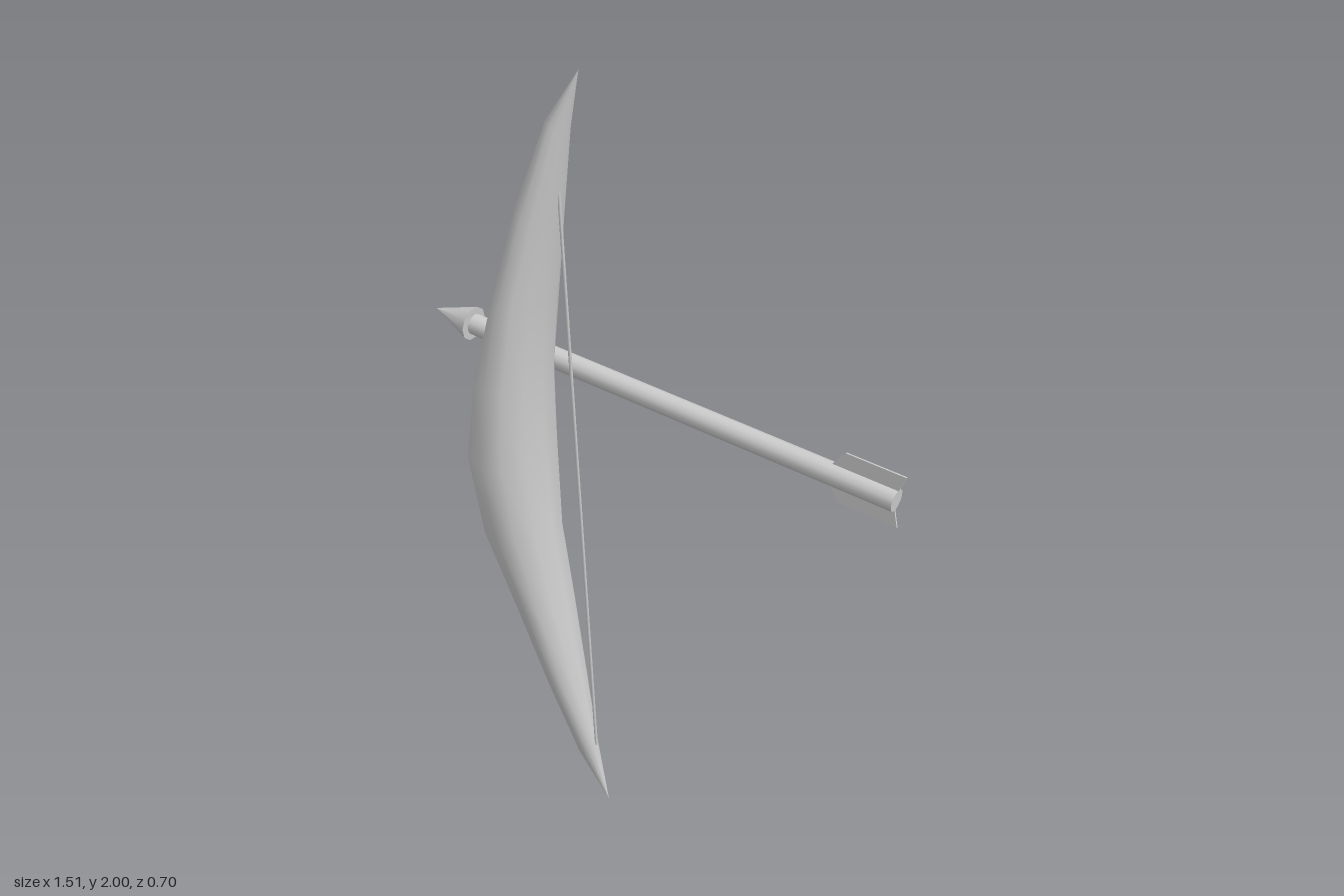
import * as THREE from 'three';

const mat = new THREE.MeshStandardMaterial({ color: 0xcccccc, side: THREE.DoubleSide });

function add(parent, name, geometry) {
  const mesh = new THREE.Mesh(geometry, mat);
  mesh.name = name;
  parent.add(mesh);
  return mesh;
}

// Bow stave cross-sections, bottom to top: outer x, y; inner x, y; half depth
const sections = [
  [0.23, 0, 0.23, 0, 0],
  [0.135, 0.135, 0.188, 0.17, 0.026],
  [0.045, 0.36, 0.145, 0.35, 0.059],
  [-0.04, 0.575, 0.1, 0.56, 0.085],
  [-0.14, 0.79, 0.055, 0.79, 0.107],
  [-0.17, 1.01, 0.035, 1.0, 0.13],
  [-0.142, 1.22, 0.027, 1.21, 0.119],
  [-0.08, 1.43, 0.04, 1.43, 0.109],
  [-0.02, 1.67, 0.073, 1.64, 0.074],
  [0.055, 1.88, 0.105, 1.86, 0.034],
  [0.135, 2, 0.135, 2, 0],
];

function staveGeometry(sides = 12) {
  const pos = [], index = [];
  sections.forEach(([ox, oy, ix, iy, depth], row) => {
    for (let j = 0; j < sides; j++) {
      const a = (j / sides) * Math.PI * 2;
      const t = (1 + Math.cos(a)) / 2;
      pos.push(ox + (ix - ox) * t, oy + (iy - oy) * t, depth * Math.sin(a));
      if (row === sections.length - 1) continue;
      const k = row * sides + j, n = row * sides + ((j + 1) % sides);
      if (row < sections.length - 2) index.push(k, k + sides, n + sides);
      else index.push(k, k + sides, n);
      if (row > 0 && row < sections.length - 2) index.push(k, n + sides, n);
    }
  });
  const g = new THREE.BufferGeometry();
  g.setAttribute('position', new THREE.Float32BufferAttribute(pos, 3));
  g.setIndex(index);
  g.computeVertexNormals();
  return g;
}

export function createModel() {
  const model = new THREE.Group();
  model.name = 'bowAndArrow';

  // Bow with its string
  const bow = new THREE.Group();
  bow.name = 'bow';
  bow.position.z = 0.217;
  add(bow, 'stave', staveGeometry());
  const top = new THREE.Vector3(0.08, 1.72, 0), bottom = new THREE.Vector3(0.188, 0.17, 0);
  add(bow, 'bowstring', new THREE.TubeGeometry(new THREE.LineCurve3(bottom, top), 1, 0.004, 6));
  model.add(bow);

  // Arrow, built along x and then tilted
  const arrow = new THREE.Group();
  arrow.name = 'arrow';
  arrow.position.set(0, 0.928, -0.3);
  arrow.rotation.z = -0.072;
  const shaft = new THREE.CylinderGeometry(0.031, 0.031, 1.35, 12).rotateZ(Math.PI / 2);
  add(arrow, 'shaft', shaft).position.x = 0.062;
  const head = new THREE.ConeGeometry(0.051, 0.14, 10).rotateZ(Math.PI / 2);
  add(arrow, 'arrowhead', head).position.x = -0.686;

  // Fletching: one slanted vane above and one below
  for (const [name, s] of [['upperVane', 1], ['lowerVane', -1]]) {
    const shape = new THREE.Shape([
      new THREE.Vector2(0.545, 0.02 * s), new THREE.Vector2(0.583, 0.076 * s),
      new THREE.Vector2(0.752, 0.076 * s), new THREE.Vector2(0.735, 0.02 * s),
    ]);
    const vane = new THREE.ExtrudeGeometry(shape, { depth: 0.005, bevelEnabled: false });
    add(arrow, name, vane.translate(0, 0, -0.0025));
  }
  model.add(arrow);
  return model;
}
